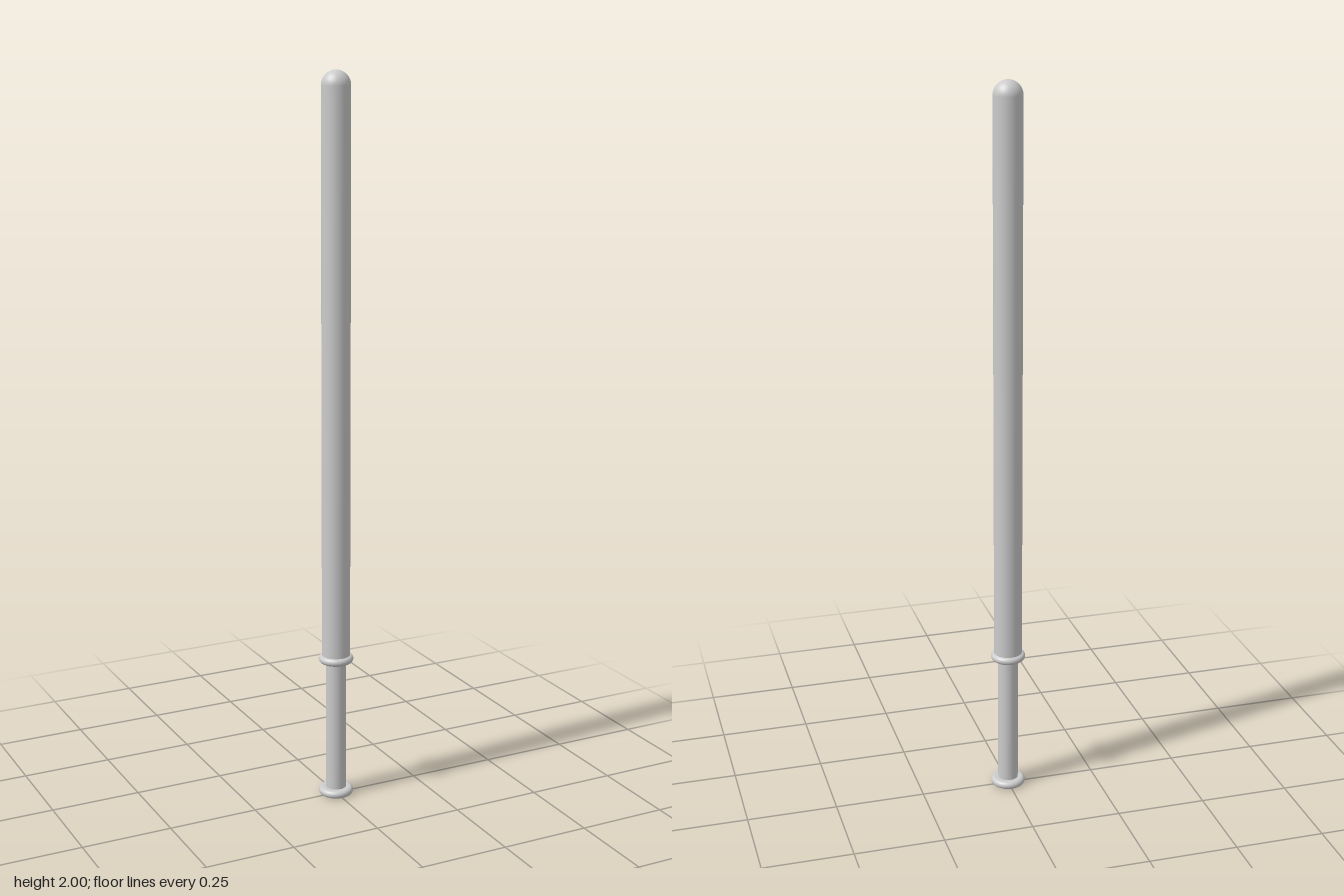
import * as THREE from 'three';

const SEGMENTS = 48;

export function createModel() {
  const group = new THREE.Group();
  const material = new THREE.MeshStandardMaterial({ color: 0xcccccc });

  const add = (name, geometry, y) => {
    const mesh = new THREE.Mesh(geometry, material);
    mesh.name = name;
    mesh.position.y = y;
    group.add(mesh);
  };

  // Solid disc with a rounded rim, centred on its own height
  const roundedDisc = (radius, height) => {
    const r = height / 2;
    const profile = new THREE.Path();
    profile.moveTo(0, -r);
    profile.lineTo(radius - r, -r);
    profile.absarc(radius - r, 0, r, -Math.PI / 2, Math.PI / 2, false);
    profile.lineTo(0, r);
    return new THREE.LatheGeometry(profile.getPoints(10), SEGMENTS);
  };

  // Grip between the two rims
  add('grip', new THREE.CylinderGeometry(0.028, 0.028, 0.39, SEGMENTS), 0.21);
  add('pommel', roundedDisc(0.048, 0.022), 0.011);
  add('guard', roundedDisc(0.048, 0.022), 0.404);

  // Long shaft with a domed tip
  const radius = 0.039, base = 0.404, top = 2 - radius;
  add('shaft', new THREE.CylinderGeometry(radius, radius, top - base, SEGMENTS), (top + base) / 2);
  add('tip', new THREE.SphereGeometry(radius, SEGMENTS, 16, 0, Math.PI * 2, 0, Math.PI / 2), top);

  return group;
}
